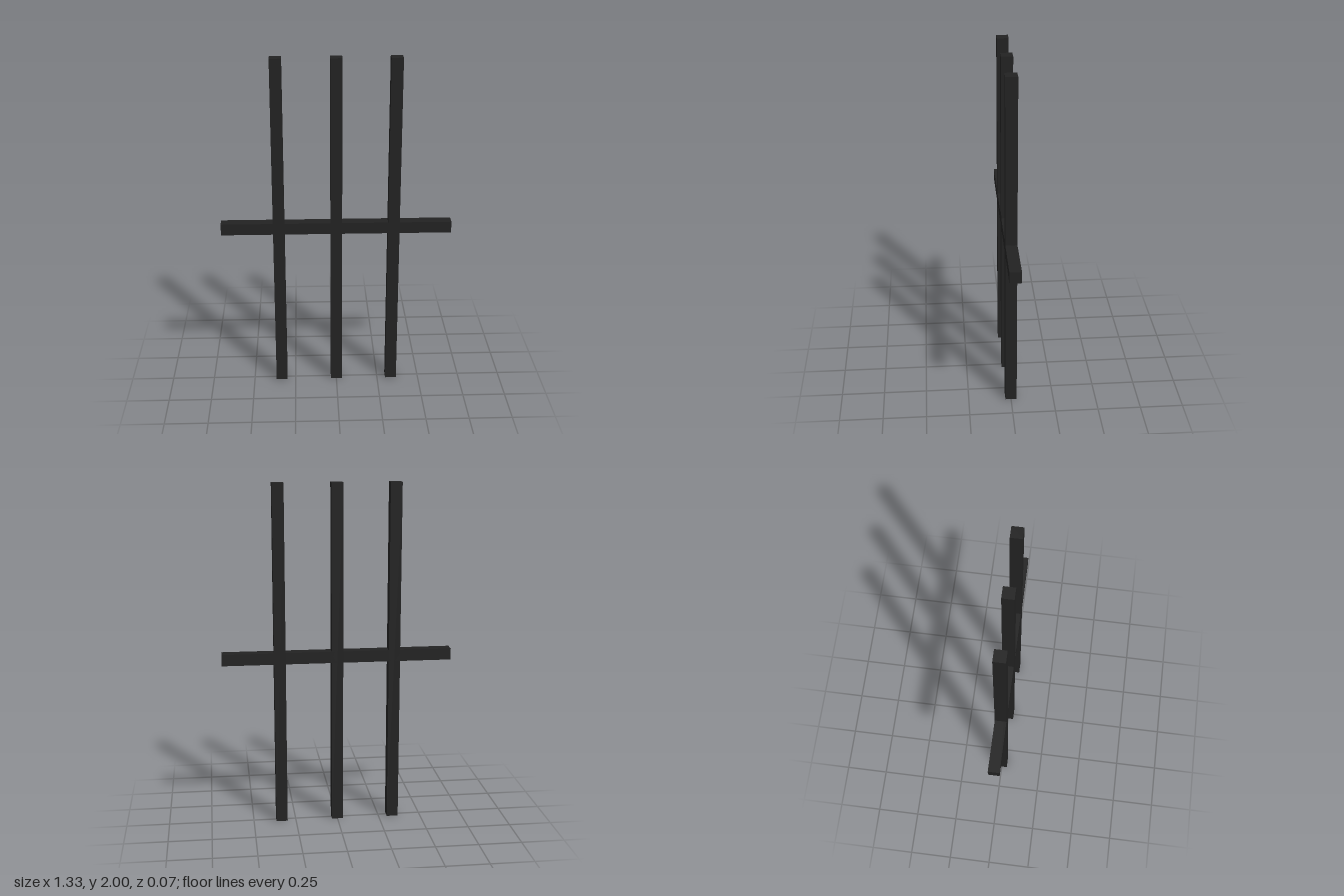
import * as THREE from 'three';

export function createModel() {
  const group = new THREE.Group();
  const blackBar = new THREE.MeshStandardMaterial({ color: 0x222222 });
  blackBar.name = 'blackBar';

  const thick = 1 / 15;   // square section of every bar
  const spacing = 1 / 3;  // distance between uprights

  function bar(name, width, height, x, y) {
    const mesh = new THREE.Mesh(new THREE.BoxGeometry(width, height, thick), blackBar);
    mesh.name = name;
    mesh.position.set(x, y, 0);
    group.add(mesh);
  }

  // Three full-height uprights
  ['rightUpright', 'middleUpright', 'leftUpright'].forEach((name, i) =>
    bar(name, thick, 2, (i - 1) * spacing, 1));

  // Horizontal rail crossing them at mid height
  bar('crossRail', 4 / 3, thick, 0, 1);

  return group;
}
